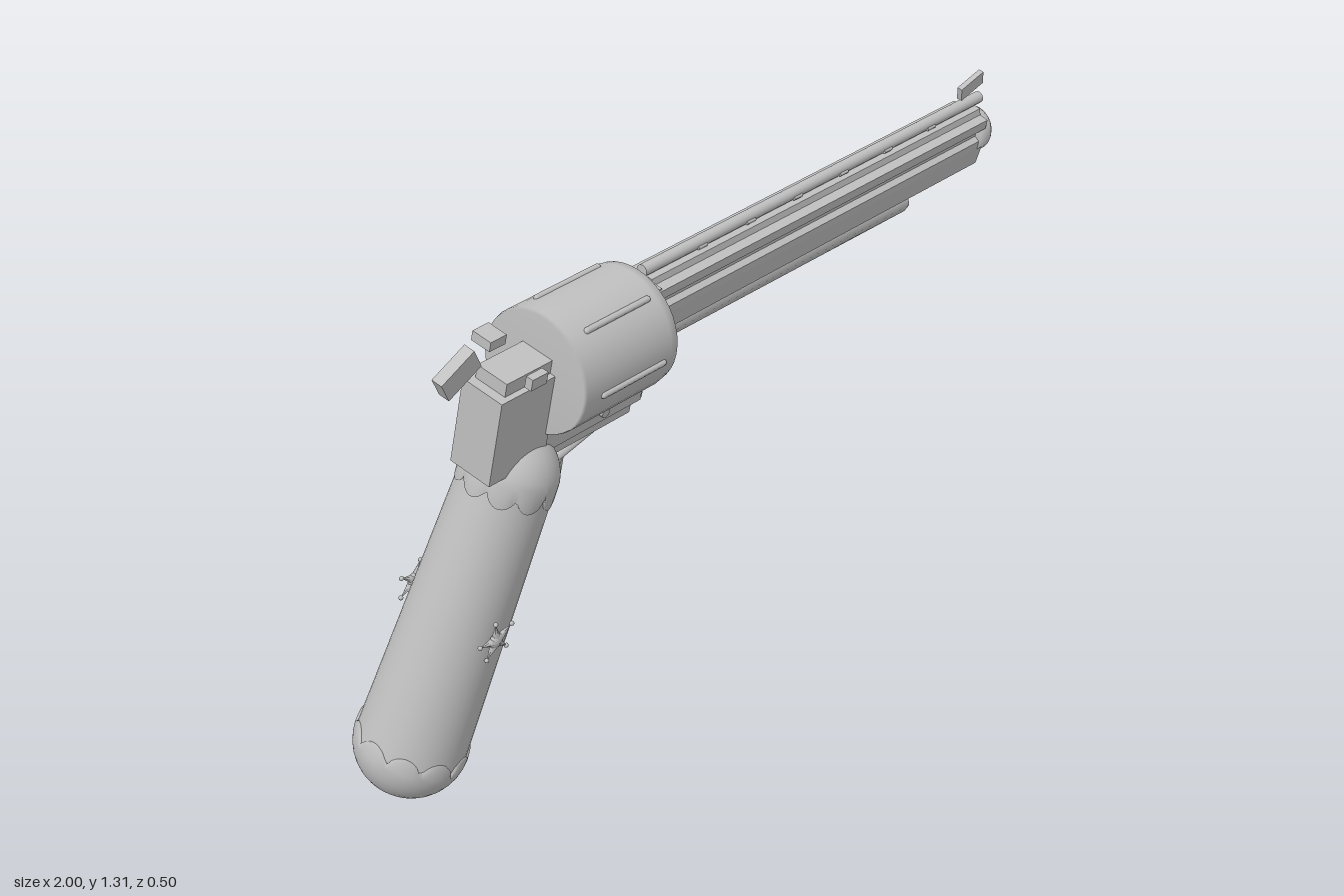
import * as THREE from 'three';

const metal = new THREE.MeshStandardMaterial({ color: 0xc0c0c0 });
metal.name = 'grey metal';

function add(parent, name, geo, x = 0, y = 0, z = 0) {
  const mesh = new THREE.Mesh(geo, metal);
  mesh.name = name;
  mesh.position.set(x, y, z);
  parent.add(mesh);
  return mesh;
}

// Box given by its x and y ranges and its full width
function slab(parent, name, x0, x1, y0, y1, width, z = 0) {
  return add(parent, name, new THREE.BoxGeometry(x1 - x0, y1 - y0, width),
    (x0 + x1) / 2, (y0 + y1) / 2, z);
}

// Rod lying along x
function rod(parent, name, x0, x1, r, y, z = 0, sides = 16) {
  const geo = new THREE.CylinderGeometry(r, r, x1 - x0, sides).rotateZ(-Math.PI / 2);
  return add(parent, name, geo, (x0 + x1) / 2, y, z);
}

// Turned solid along x; profile pairs are [radius, x]
function turned(parent, name, profile, y, sides) {
  const pts = profile.map(([r, x]) => new THREE.Vector2(r, x));
  return add(parent, name, new THREE.LatheGeometry(pts, sides).rotateZ(-Math.PI / 2), 0, y, 0);
}

// Points of a quarter dome; dir -1 runs pole to rim at the bottom, +1 rim to pole at the top
function dome(r, y, dir) {
  const pts = [];
  for (let i = 0; i <= 10; i++) {
    const a = (dir < 0 ? 10 - i : i) / 10 * Math.PI / 2;
    pts.push(new THREE.Vector2(Math.max(0, r * Math.cos(a)), y + dir * r * Math.sin(a)));
  }
  return pts;
}

// Lathe whose listed rings are pulled into scallops
function scalloped(points, rings, depth) {
  const seg = 96, geo = new THREE.LatheGeometry(points, seg), pos = geo.attributes.position;
  for (let s = 0; s <= seg; s++) {
    const wave = Math.sqrt(Math.abs(Math.sin(s / seg * Math.PI * 10)));
    for (const ring of rings) {
      const i = s * points.length + ring;
      pos.setY(i, pos.getY(i) + depth * wave);
    }
  }
  geo.computeVertexNormals();
  return geo;
}

function star(parent, x, y, z, back) {
  const g = new THREE.Group();
  g.name = 'starBadge';
  g.position.set(x, y, z);
  if (back) g.rotation.y = Math.PI;
  const hub = add(g, 'starHub', new THREE.SphereGeometry(0.02, 14, 10));
  hub.scale.z = 0.6;
  for (let i = 0; i < 5; i++) {
    const a = Math.PI / 2 + 0.2 + i * Math.PI * 2 / 5, c = Math.cos(a), s = Math.sin(a);
    const arm = add(g, 'starArm', new THREE.ConeGeometry(0.013, 0.052, 6), c * 0.028, s * 0.028, 0);
    arm.rotation.z = a - Math.PI / 2;
    add(g, 'starTip', new THREE.SphereGeometry(0.006, 8, 6), c * 0.054, s * 0.054, 0);
  }
  parent.add(g);
}

export function createModel() {
  const model = new THREE.Group();
  model.name = 'revolver';

  // Body leans sideways about the drum axis
  const body = new THREE.Group();
  body.name = 'body';
  body.position.set(0, 1.093, 0.093);
  body.rotation.x = 0.21;
  model.add(body);

  // Drum with six raised ridges
  turned(body, 'drum', [[0, -0.63], [0.149, -0.63], [0.152, -0.62], [0.152, -0.34],
    [0.148, -0.315], [0.135, -0.308], [0, -0.308]], 0, 40);
  for (let i = 0; i < 6; i++) {
    const a = Math.PI / 6 + i * Math.PI / 3;
    const geo = new THREE.CapsuleGeometry(0.008, 0.2, 4, 8).rotateZ(Math.PI / 2);
    add(body, 'drumRidge', geo, -0.465, 0.152 * Math.cos(a), 0.152 * Math.sin(a));
  }

  // Frame around the drum
  slab(body, 'frontFrame', -0.31, -0.28, -0.2, 0.11, 0.1);
  slab(body, 'bottomFrame', -0.63, -0.31, -0.233, -0.12, 0.09);
  slab(body, 'bottomFrameSide', -0.63, -0.29, -0.2, -0.12, 0.11);
  slab(body, 'rearFrame', -0.8, -0.62, -0.205, 0.025, 0.12);
  slab(body, 'rearFrameCore', -0.775, -0.62, -0.205, 0.06, 0.09);
  for (const side of [-1, 1]) {
    const screw = new THREE.CylinderGeometry(0.013, 0.013, 0.014, 10).rotateX(Math.PI / 2);
    add(body, 'frameScrew', screw, -0.425, -0.17, side * 0.058);
  }
  slab(body, 'sideLatch', -0.745, -0.695, 0.055, 0.085, 0.02, 0.08);

  // Grooved barrel extruded from a half section mirrored across the middle
  const half = [[0.04, -0.035], [0.05, -0.025], [0.056, 0.03], [0.056, 0.05], [0.042, 0.058],
    [0.042, 0.072], [0.054, 0.08], [0.054, 0.105], [0.03, 0.108], [0.025, 0.124]];
  const outline = [...half, ...half.map(([w, v]) => [-w, v]).reverse()];
  const section = new THREE.Shape(outline.map(([w, v]) => new THREE.Vector2(w, v)));
  const barrel = new THREE.ExtrudeGeometry(section, { depth: 1.25, bevelEnabled: false });
  add(body, 'barrel', barrel.rotateY(Math.PI / 2), -0.29, 0, 0);
  rod(body, 'topRib', -0.3, 0.98, 0.015, 0.138);
  for (let i = 0; i < 6; i++) {
    for (const side of [-1, 1]) rod(body, 'ribStud', -0.12 + i * 0.174, -0.09 + i * 0.174, 0.005, 0.134, side * 0.014, 8);
  }
  turned(body, 'muzzle', [[0, 0.94], [0.06, 0.94], [0.06, 0.985], [0.053, 0.997], [0, 1]], 0.048, 20);

  // Rod housing under the barrel
  const housing = rod(body, 'underBarrelRod', -0.27, 0.72, 0.033, -0.066, 0, 8);
  housing.rotation.z = -0.006;

  // Front sight, rear sight and hammer
  const sight = slab(body, 'frontSight', 0.885, 0.97, 0.173, 0.21, 0.014);
  sight.rotation.z = 0.29;
  slab(body, 'rearSight', -0.83, -0.78, 0.162, 0.187, 0.055);
  const hammer = slab(body, 'hammer', -0.948, -0.842, 0.088, 0.15, 0.03);
  hammer.rotation.z = 0.53;

  // Guard bar and trigger
  const bar = add(body, 'triggerGuard', new THREE.CapsuleGeometry(0.013, 0.2, 4, 10).rotateZ(Math.PI / 2), -0.465, -0.282, 0);
  bar.rotation.z = 0.26;
  bar.scale.z = 1.5;
  slab(body, 'trigger', -0.488, -0.48, -0.39, -0.29, 0.016);

  // Tapered round grip with scalloped end caps
  const foot = new THREE.Vector3(-0.863, 0.141, -0.11);
  const axis = new THREE.Vector3(-0.665, 0.832, 0.04).sub(foot);
  const len = axis.length(), r0 = 0.134, r1 = 0.112;
  const grip = new THREE.Group();
  grip.name = 'grip';
  grip.position.copy(foot);
  grip.quaternion.setFromUnitVectors(new THREE.Vector3(0, 1, 0), axis.normalize());
  model.add(grip);
  add(grip, 'gripCore', new THREE.LatheGeometry([...dome(r0, 0, -1), ...dome(r1, len, 1)], 48));
  const V = (x, y) => new THREE.Vector2(x, y);
  const lower = [...dome(r0 + 0.005, 0, -1).slice(0, -1), V(r0 + 0.005, -0.02), V(r0 - 0.004, -0.02)];
  add(grip, 'lowerCap', scalloped(lower, [lower.length - 2, lower.length - 1], 0.04));
  const upper = [V(r1 - 0.004, len), V(r1 + 0.005, len), ...dome(r1 + 0.005, len, 1).slice(1)];
  add(grip, 'upperCap', scalloped(upper, [0, 1], -0.04));

  // Star badges on both sides of the grip
  star(body, -0.78, -0.617, 0.134, false);
  star(body, -0.775, -0.617, -0.134, true);

  return model;
}
